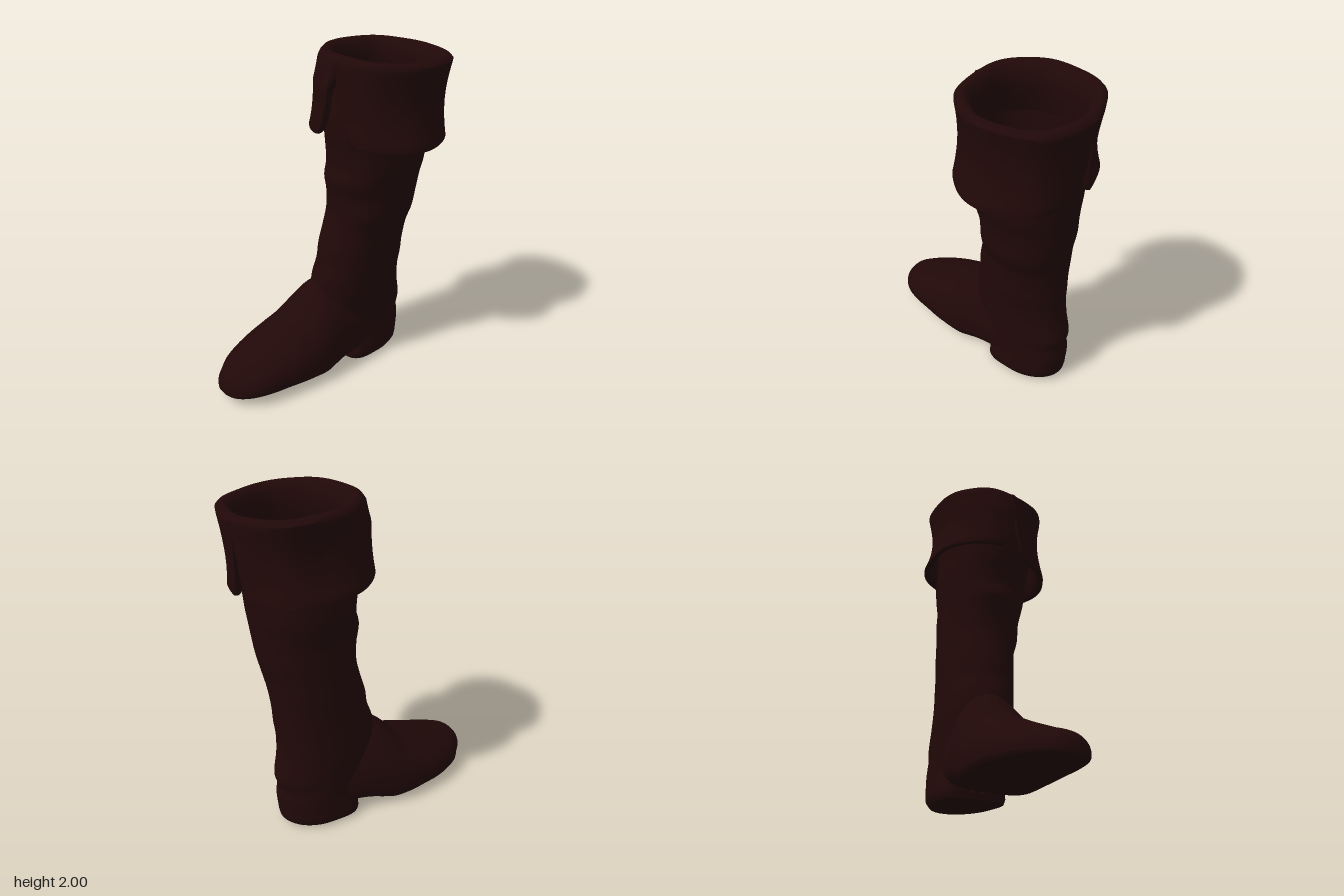
import * as THREE from 'three';
import { toCreasedNormals } from 'three/addons/utils/BufferGeometryUtils.js';

// Skin a list of closed rings; flip reverses the facing, skip drops faces by their centre
function loft(rings, { flip = false, capStart = false, capEnd = false, skip = () => false } = {}) {
  const n = rings[0].length, pts = rings.flat(), idx = [], mid = new THREE.Vector3();
  const tri = (a, b, c) => {
    mid.copy(pts[a]).add(pts[b]).add(pts[c]).divideScalar(3);
    if (!skip(mid)) flip ? idx.push(a, c, b) : idx.push(a, b, c);
  };
  for (let i = 0; i < rings.length - 1; i++) {
    for (let j = 0; j < n; j++) {
      const k = (j + 1) % n, a = i * n + j, b = i * n + k;
      tri(a, a + n, b);
      tri(b, a + n, b + n);
    }
  }
  const cap = (row, end) => {
    const c = new THREE.Vector3();
    rings[row].forEach(p => c.addScaledVector(p, 1 / n));
    const id = pts.push(c) - 1;
    for (let j = 0; j < n; j++) {
      const a = row * n + j, b = row * n + (j + 1) % n;
      end ? tri(a, id, b) : tri(a, b, id);
    }
  };
  if (capStart) cap(0, false);
  if (capEnd) cap(rings.length - 1, true);
  const g = new THREE.BufferGeometry().setFromPoints(pts);
  g.setIndex(idx);
  return toCreasedNormals(g, 0.9);
}

// Smoothly interpolate rows of a section table by its first column
function sample(rows, v) {
  let i = 0;
  while (i < rows.length - 2 && v > rows[i + 1][0]) i++;
  const at = k => rows[Math.min(rows.length - 1, Math.max(0, k))];
  const [p, a, b, q] = [at(i - 1), at(i), at(i + 1), at(i + 2)];
  const h = b[0] - a[0], t = THREE.MathUtils.clamp((v - a[0]) / h, 0, 1);
  return a.map((_, c) => {
    const ma = (b[c] - p[c]) / (b[0] - p[0] || 1) * h, mb = (q[c] - a[c]) / (q[0] - a[0] || 1) * h;
    return (2 * t ** 3 - 3 * t * t + 1) * a[c] + (t ** 3 - 2 * t * t + t) * ma
      + (3 * t * t - 2 * t ** 3) * b[c] + (t ** 3 - t * t) * mb;
  });
}
const spow = (v, e) => Math.sign(v) * Math.abs(v) ** e;
const ringOf = (n, f) => Array.from({ length: n }, (_, j) => f(j / n * Math.PI * 2));
const steps = (a, b, n) => Array.from({ length: n + 1 }, (_, i) => a + (b - a) * i / n);
const inOval = (u, w, e) => Math.abs(u) ** (2 / e) + Math.abs(w) ** (2 / e) < 0.92;

// Shaft and heel: y, xMin, xMax, zBack, zFront, squareness of the front half
const SHAFT = [
  [0.02, -0.295, 0.06, -0.555, -0.12, 0.5], [0.05, -0.31, 0.075, -0.582, -0.118, 0.5],
  [0.10, -0.31, 0.075, -0.588, -0.115, 0.55], [0.20, -0.305, 0.072, -0.595, -0.08, 0.75],
  [0.28, -0.303, 0.075, -0.585, -0.02, 0.85], [0.35, -0.305, 0.08, -0.60, 0.02, 0.9],
  [0.48, -0.305, 0.093, -0.575, 0.05, 0.92], [0.60, -0.30, 0.105, -0.565, 0.04, 0.92],
  [0.70, -0.295, 0.12, -0.57, 0.008, 0.92], [0.80, -0.293, 0.13, -0.572, -0.005, 0.92],
  [0.93, -0.29, 0.15, -0.585, -0.04, 0.92], [1.03, -0.285, 0.185, -0.60, -0.055, 0.92],
  [1.15, -0.282, 0.195, -0.625, -0.05, 0.92], [1.25, -0.28, 0.215, -0.635, -0.028, 0.92],
  [1.33, -0.288, 0.24, -0.64, -0.045, 0.92], [1.42, -0.293, 0.25, -0.65, -0.04, 0.92],
  [1.55, -0.285, 0.27, -0.655, -0.02, 0.92], [1.90, -0.29, 0.315, -0.685, -0.03, 0.95],
];
function shaftSection(y) {
  const [, x0, x1, z0, z1, e] = sample(SHAFT, y);
  const taper = Math.max(0, 0.25 - y) * 0.6; // heel narrows towards the back
  return { cx: (x0 + x1) / 2, hx: (x1 - x0) / 2, cz: (z0 + z1) / 2, hz: (z1 - z0) / 2, e, taper };
}
function shaftRing(y, n) {
  const { cx, hx, cz, hz, e, taper } = shaftSection(y);
  return ringOf(n, a => {
    const p = Math.sin(a) < 0 ? 0.96 : e, w = spow(Math.sin(a), p);
    return new THREE.Vector3(cx + hx * spow(Math.cos(a), p) * (1 + taper * w), y, cz + hz * w);
  });
}
function insideShaft({ x, y, z }) {
  const { cx, hx, cz, hz, e, taper } = shaftSection(y);
  const w = (z - cz) / hz;
  return y > 0.02 && inOval((x - cx) / (hx * (1 + taper * w)), w, w < 0 ? 0.96 : e);
}

// Foot: z, xMin, xMax, yBottom, yTop
const FOOT = [
  [-0.40, -0.27, 0.05, 0.08, 0.36], [-0.25, -0.295, 0.07, 0.08, 0.48], [-0.15, -0.315, 0.083, 0.07, 0.56],
  [-0.05, -0.34, 0.095, 0.05, 0.595], [0.03, -0.362, 0.105, 0.025, 0.575], [0.10, -0.378, 0.115, 0.01, 0.515],
  [0.20, -0.39, 0.122, 0.022, 0.415], [0.30, -0.387, 0.124, 0.033, 0.365], [0.40, -0.378, 0.115, 0.04, 0.318],
  [0.50, -0.352, 0.107, 0.047, 0.275], [0.60, -0.305, 0.085, 0.054, 0.232], [0.67, -0.24, 0.05, 0.058, 0.205],
  [0.715, -0.195, 0.005, 0.063, 0.175], [0.738, -0.15, -0.05, 0.07, 0.135], [0.743, -0.12, -0.08, 0.08, 0.10],
];
function footSection(z) {
  const [, x0, x1, y0, y1] = sample(FOOT, z);
  const cy = y0 + (y1 - y0) * 0.3;
  const instep = 0.95 + 0.15 * THREE.MathUtils.smoothstep(0.25 - z, 0, 0.3);
  // flat sole below, rounded upper above
  return { cx: (x0 + x1) / 2, hx: (x1 - x0) / 2, cy, half: up => (up ? [y1 - cy, instep] : [cy - y0, 0.6]) };
}
function footRing(z) {
  const { cx, hx, cy, half } = footSection(z);
  return ringOf(56, a => {
    const [hy, e] = half(Math.sin(a) >= 0);
    return new THREE.Vector3(cx + hx * spow(Math.cos(a), e), cy + hy * spow(Math.sin(a), e), z);
  });
}
function insideFoot({ x, y, z }) {
  const { cx, hx, cy, half } = footSection(z);
  const [hy, e] = half(y >= cy);
  return z > -0.4 && inOval((x - cx) / hx, (y - cy) / hy, e);
}

// Lower edge of the cuff, cut by a slit at front and back: angle, widths either side
const SLITS = [[1.55, 0.42, 0.28], [4.57, 0.2, 0.26]];
function hem(a) {
  let y = 1.51 - 0.035 * Math.cos(a) + 0.02 * Math.sin(a) * (Math.cos(a) < 0 ? 1 : 0.3);
  for (const [c, before, after] of SLITS) {
    const d = Math.abs(a - c) / (a < c ? before : after);
    if (d < 1) y = 1.94 + (y - 1.94) * (1 - (1 - d) ** 2.5) ** 0.6;
  }
  return y;
}
const rimY = a => 1.975 - 0.02 * Math.cos(a) + 0.008 * Math.sin(a);

// Cuff ring: inset from the rim outline, t = 0 at the rim, 1 at the hem
function cuffRing(inset, t, lift = 0) {
  return ringOf(216, a => {
    const c = Math.cos(a), s = Math.sin(a);
    const isRight = a > SLITS[0][0] && a < SLITS[1][0];
    const top = rimY(a) + lift, y = top + (hem(a) - top) * t;
    const drop = (top - y) / 0.48;
    const flare = ((c < 0 ? 0.045 : 0.015) * drop ** 2 - 0.038 * Math.sin(drop * Math.PI)) * Math.abs(c);
    const front = Math.max(0, s) * Math.min(1, drop * 3) * (isRight ? 0.052 : 0.005);
    const back = Math.min(0, s) * drop * 0.04;
    const r = 0.364 - inset + flare + front + back + 0.004 * Math.sin(7 * a + 1) + 0.004 * Math.sin(4 * a);
    return new THREE.Vector3(0.018 + r * spow(c, 0.91), y, -0.366 + (r + 0.004) * spow(s, 0.91));
  });
}

export function createModel() {
  const group = new THREE.Group();
  const leather = new THREE.MeshStandardMaterial({ color: 0x210808, side: THREE.DoubleSide });
  leather.name = 'dark brown leather';
  const add = (name, geometry) => {
    const mesh = new THREE.Mesh(geometry, leather);
    mesh.name = name;
    group.add(mesh);
  };

  // Hollow shaft and foot, each opened where it meets the other
  const shaftYs = [0.02, 0.03, 0.05, ...steps(0.08, 1.9, 90)];
  add('shaftAndHeel', loft(shaftYs.map(y => shaftRing(y, 80)), { capStart: true, skip: insideFoot }));

  const footZs = [...steps(-0.4, 0.66, 60), ...steps(0.67, 0.743, 14)];
  add('foot', loft(footZs.map(footRing), { flip: true, capEnd: true, skip: insideShaft }));

  // Cuff rises from the inside of the shaft, rolls over the rim and folds down
  const rim = [[0.094, -0.07], [0.082, -0.025], [0.062, 0], [0.042, 0.01], [0.02, 0.002], [0.005, -0.015]]
    .map(([inset, lift]) => cuffRing(inset, 0, lift));
  const outside = steps(0.08, 0.96, 14).map(t => cuffRing(0, t));
  const edge = [[0.006, 0.99], [0.02, 1], [0.034, 0.99]].map(([inset, t]) => cuffRing(inset, t));
  const underside = steps(0.94, 0.2, 8).map(t => cuffRing(0.042, t));
  add('foldedCuff', loft([shaftRing(1.7, 216), cuffRing(0.098, 0, -0.13), ...rim, ...outside, ...edge, ...underside], { flip: true }));

  return group;
}
